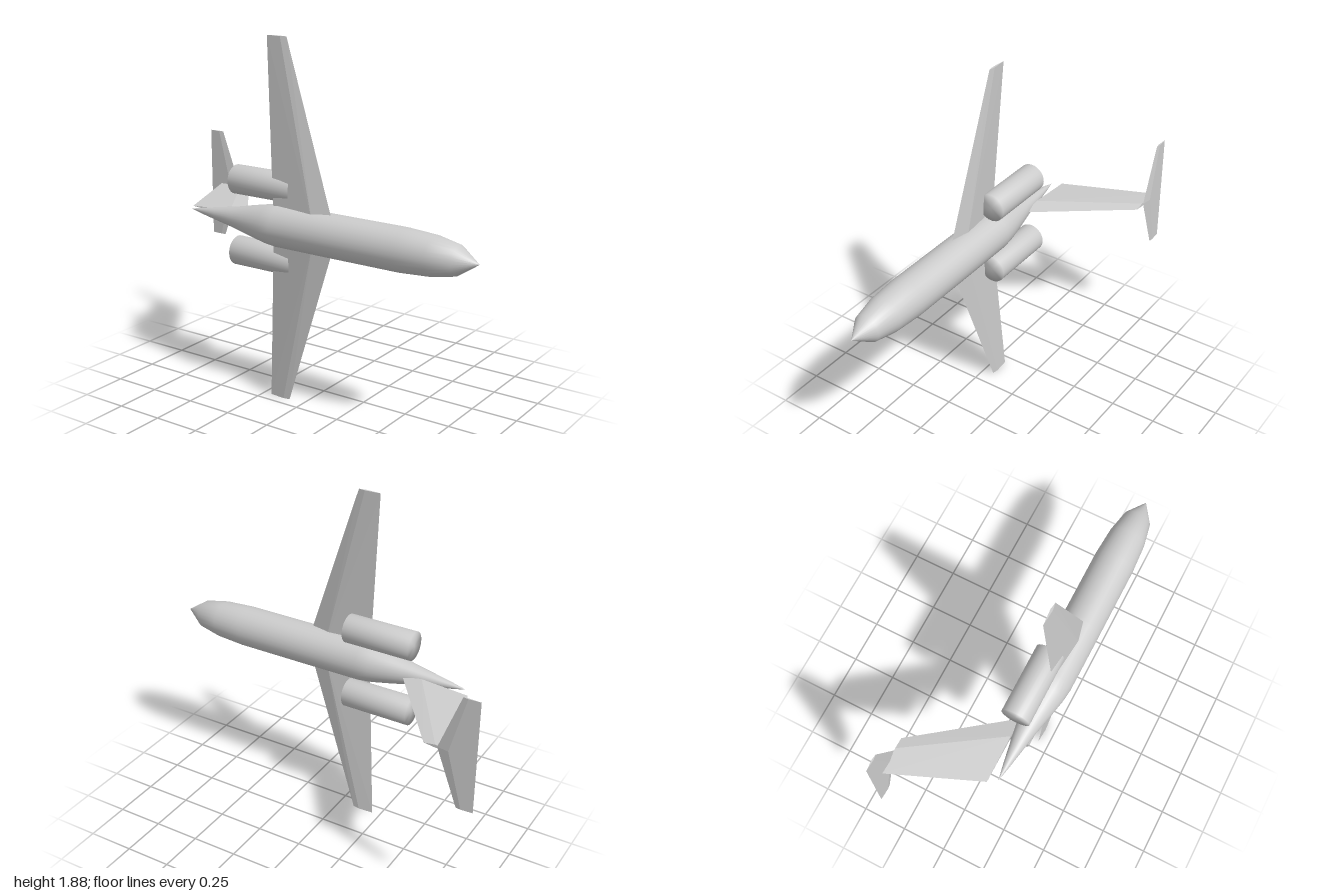
import * as THREE from 'three';
import { mergeVertices } from 'three/addons/utils/BufferGeometryUtils.js';
import { ConvexGeometry } from 'three/addons/geometries/ConvexGeometry.js';

const AXIS_Y = 0.943; // height of the plane of symmetry
const AXIS_Z = 0.212; // fuselage centre line

// Thin diamond section across the span axis: leading edge, trailing edge, two ridges.
// place(chordX, thicknessOffset) turns section coordinates into a point.
function diamond(lead, trail, half, place) {
  const ridge = lead + (trail - lead) * 0.3;
  return [place(lead, 0), place(ridge, half), place(trail, 0), place(ridge, -half)];
}

export function createModel() {
  const model = new THREE.Group();
  model.name = 'aircraft';
  const grey = new THREE.MeshStandardMaterial({ color: 0xcccccc });
  grey.name = 'light grey';

  const add = (name, geometry) => {
    const mesh = new THREE.Mesh(geometry, grey);
    mesh.name = name;
    model.add(mesh);
    return mesh;
  };

  // Fuselage: turned profile from tail tip to nose tip, laid along x
  const profile = [
    [0, -0.7], [0.015, -0.63], [0.035, -0.52], [0.056, -0.4], [0.08, -0.29], [0.1, -0.19],
    [0.108, -0.12], [0.109, 0.2], [0.109, 0.6], [0.099, 0.76], [0.074, 0.885], [0, 0.995],
  ].map(([r, x]) => new THREE.Vector2(r, x));
  const body = new THREE.LatheGeometry(profile, 28);
  body.rotateZ(-Math.PI / 2);
  add('fuselage', body).position.set(0, AXIS_Y, AXIS_Z);

  for (const side of [1, -1]) {
    const label = side > 0 ? 'upper' : 'lower';

    // Main wing half, swept with slight dihedral
    const wingAt = (span, z) => (x, t) => new THREE.Vector3(x, AXIS_Y + side * span, z + t);
    add(label + 'Wing', new ConvexGeometry([
      ...diamond(0.215, -0.148, 0.024, wingAt(0.05, 0.23)),
      ...diamond(-0.087, -0.205, 0.006, wingAt(0.942, 0.19)),
    ]));

    // Tailplane half on top of the fin
    add(label + 'Tailplane', new ConvexGeometry([
      ...diamond(-0.8, -1, 0.009, wingAt(0, -0.314)),
      ...diamond(-0.912, -1, 0.004, wingAt(0.303, -0.314)),
    ]));

    // Engine pod with softly shaded ends
    let pod = new THREE.CylinderGeometry(0.076, 0.076, 0.373, 28);
    pod.deleteAttribute('normal');
    pod.deleteAttribute('uv');
    pod = mergeVertices(pod);
    pod.computeVertexNormals();
    pod.rotateZ(-Math.PI / 2);
    add(label + 'Engine', pod).position.set(-0.242, AXIS_Y + side * 0.19, 0.167);
  }

  // Swept fin between fuselage and tailplane
  const finAt = (z) => (x, t) => new THREE.Vector3(x, AXIS_Y + t, z);
  add('fin', new ConvexGeometry([
    ...diamond(-0.37, -0.732, 0.017, finAt(0.165)),
    ...diamond(-0.73, -0.93, 0.008, finAt(-0.314)),
  ]));

  return model;
}
